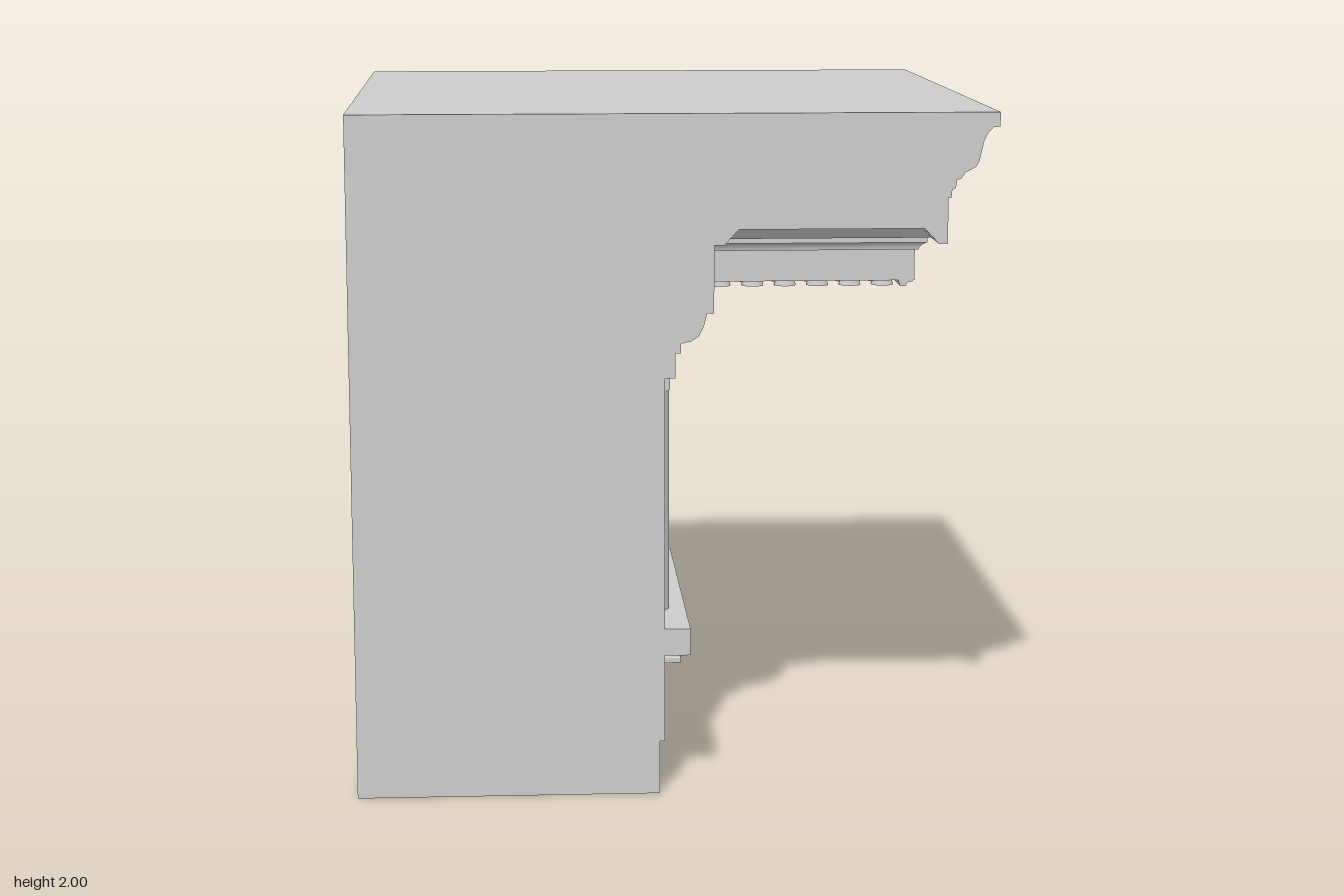
import * as THREE from 'three';
import { mergeGeometries, toCreasedNormals } from 'three/addons/utils/BufferGeometryUtils.js';

const END = 0.93;            // plane where both arms are cut off
const SOFFIT = 1.625, COFFER_TOP = 1.67;
const MID = 0.485;           // centre line of triglyph, regula and mutule
const material = new THREE.MeshStandardMaterial({ color: 0xcccccc });

// Geometry from a list of four-cornered faces
function fromQuads(quads, crease = 0.6) {
  const pos = [];
  const same = (p, q) => p.every((v, i) => Math.abs(v - q[i]) < 1e-6);
  for (const [a, b, c, d] of quads) {
    for (const t of [[a, b, c], [a, c, d]]) {
      if (same(t[0], t[1]) || same(t[1], t[2]) || same(t[0], t[2])) continue;
      pos.push(...t.flat());
    }
  }
  const g = new THREE.BufferGeometry();
  g.setAttribute('position', new THREE.Float32BufferAttribute(pos, 3));
  return toCreasedNormals(g, crease);
}

// Reflect across the corner diagonal: (x, z) -> (-z, -x), keeping faces outward
function mirrored(geo) {
  const g = geo.index ? geo.toNonIndexed() : geo.clone();
  for (const name of ['position', 'normal']) {
    const a = g.attributes[name], src = a.array.slice();
    for (let i = 0; i < a.count; i++) {
      const j = i % 3 === 1 ? i + 1 : i % 3 === 2 ? i - 1 : i;
      a.setXYZ(i, -src[j * 3 + 2], src[j * 3 + 1], -src[j * 3]);
    }
  }
  return g;
}

const shapeOf = pts => new THREE.Shape(pts.map(p => new THREE.Vector2(...p)));

function box(x0, x1, y0, y1, z0, z1) {
  return new THREE.BoxGeometry(x1 - x0, y1 - y0, z1 - z0)
    .translate((x0 + x1) / 2, (y0 + y1) / 2, (z0 + z1) / 2);
}

// An x-y section run along z
function run(pts, z0, z1) {
  return new THREE.ExtrudeGeometry(shapeOf(pts), { depth: z1 - z0, bevelEnabled: false }).translate(0, 0, z0);
}

// Moulding profile run from the cut end to the mitred corner
function mitredRun(profile) {
  const quads = [];
  for (let i = 0; i + 1 < profile.length; i++) {
    const [p, y] = profile[i], [q, h] = profile[i + 1];
    quads.push([[p, y, END], [p, y, -p], [q, h, -q], [q, h, END]]);
  }
  return fromQuads(quads);
}

// Sunk panel with sloping sides, seen from below
function coffer(x0, x1, z0, z1, open = false) {
  const s = 0.042, e = open ? 0 : s;
  const B = [[x0, SOFFIT, z0], [x1, SOFFIT, z0], [x1, SOFFIT, z1], [x0, SOFFIT, z1]];
  const T = [[x0 + s, COFFER_TOP, z0 + s], [x1 - s, COFFER_TOP, z0 + s],
    [x1 - s, COFFER_TOP, z1 - e], [x0 + s, COFFER_TOP, z1 - e]];
  const quads = [[T[0], T[1], T[2], T[3]]];
  for (let i = 0; i < 4; i++) {
    if (open && i === 2) continue;
    const j = (i + 1) % 4;
    quads.push([B[i], B[j], T[j], T[i]]);
  }
  return fromQuads(quads, 0.1);
}

// Block whose rectangle grows by an offset at each height
function mutuleBlock() {
  const steps = [[0, 1.492], [0, 1.583], [0.008, 1.583], [0.01, 1.59], [0.018, 1.6], [0.028, 1.606], [0.028, SOFFIT]];
  const loop = ([o, y]) => [[0.1, y, 0.725 + o * 0.7], [0.717 + o * 1.2, y, 0.725 + o * 0.7],
    [0.717 + o * 1.2, y, 0.243 - o * 0.7], [0.1, y, 0.243 - o * 0.7]];
  const quads = [loop(steps[0]).reverse()];
  for (let i = 0; i + 1 < steps.length; i++) {
    const a = loop(steps[i]), b = loop(steps[i + 1]);
    for (let k = 0; k < 4; k++) {
      const m = (k + 1) % 4;
      quads.push([a[k], a[m], b[m], b[k]]);
    }
  }
  return fromQuads(quads);
}

export function createModel() {
  const model = new THREE.Group();
  model.name = 'entablatureCorner';
  const add = (name, geo) => {
    const mesh = new THREE.Mesh(geo, material);
    mesh.name = name;
    model.add(mesh);
  };
  const addBoth = (name, geo) => {
    add(name + 'Right', geo);
    add(name + 'Back', mirrored(geo));
  };

  // Architrave, frieze and bed moulding
  const lower = [[-END, 0], [-0.042, 0], [-0.042, 0.16], [-0.028, 0.16], [-0.028, 0.42], [0.047, 0.42],
    [0.047, 0.5], [-0.028, 0.5], [-0.028, 1.243], [0.002, 1.243], [0.002, 1.315], [0.018, 1.315],
    [0.018, 1.343], [0.048, 1.35], [0.068, 1.364], [0.082, 1.39], [0.092, 1.43], [0.112, 1.43], [0.112, SOFFIT]];
  // Corona and crowning cyma
  const upper = [[0.78, SOFFIT], [0.78, 1.757], [0.788, 1.757], [0.79, 1.78], [0.8, 1.785], [0.803, 1.807],
    [0.815, 1.812], [0.828, 1.83], [0.845, 1.838], [0.858, 1.846], [0.866, 1.862], [0.872, 1.89],
    [0.879, 1.92], [0.89, 1.942], [0.905, 1.957], [0.924, 1.959], [0.924, 2], [-END, 2]];
  addBoth('wall', mitredRun(lower));
  addBoth('cornice', mitredRun(upper));

  // Flat cut ends, notched where the last coffer is cut through
  const notch = [[0.14, SOFFIT], [0.182, COFFER_TOP], [0.713, COFFER_TOP], [0.755, SOFFIT]];
  addBoth('cutEnd', new THREE.ShapeGeometry(shapeOf([...lower, ...notch, ...upper])).translate(0, 0, END));

  // Soffit, with openings for the coffers
  const c0 = 0.14, c1 = 0.755, n0 = -0.09, n1 = 0.185, f0 = 0.785;
  const soffit = shapeOf([[0.112, END], [0.112, -0.112], [c0, -c0], [c1, -c0], [c1, -c1], [0.78, -0.78],
    [0.78, END], [c1, END], [c1, f0], [c0, f0], [c0, END]]);
  soffit.holes.push(new THREE.Path([[c0, n0], [c1, n0], [c1, n1], [c0, n1]].map(p => new THREE.Vector2(...p))));
  addBoth('soffit', new THREE.ShapeGeometry(soffit).rotateX(Math.PI / 2).translate(0, SOFFIT, 0));
  add('cornerCoffer', coffer(c0, c1, -c1, -c0));
  addBoth('narrowCoffer', coffer(c0, c1, n0, n1));
  addBoth('endCoffer', coffer(c0, c1, f0, END, true));

  // Mutule with drip lip and rows of round drops
  addBoth('mutule', mutuleBlock());
  addBoth('mutuleLip', run([[0.717, 1.5], [0.712, 1.488], [0.697, 1.486], [0.692, 1.475],
    [0.675, 1.475], [0.667, 1.5]], 0.243, 0.725));
  const drops = [];
  for (let i = 0; i < 6; i++) {
    for (let k = 0; k < 6; k++) {
      drops.push(new THREE.CylinderGeometry(0.027, 0.033, 0.022, 14)
        .translate(0.147 + i * 0.096, 1.486, MID + (k - 2.5) * 0.079));
    }
  }
  addBoth('mutuleDrops', mergeGeometries(drops));

  // Triglyph: shanks with two V grooves and chamfered edges
  const face = -0.002, deep = -0.026, half = 0.25;
  const plan = [[-0.05, -half], [deep, -half], [face, -half + 0.04]];
  for (const c of [-0.085, 0.085]) plan.push([face, c - 0.04], [deep, c], [face, c + 0.04]);
  plan.push([face, half - 0.04], [deep, half], [-0.05, half]);
  addBoth('triglyph', new THREE.ExtrudeGeometry(shapeOf(plan), { depth: 0.675, bevelEnabled: false })
    .rotateX(-Math.PI / 2).translate(0, 0.5, MID));
  addBoth('triglyphHead', run([[face, 1.175], [face, 1.245], [-0.05, 1.245], [-0.05, 1.145]], MID - half, MID + half));
  addBoth('triglyphCap', box(-0.03, 0.009, 1.243, 1.316, MID - half, MID + half));

  // Regula with a row of pyramid drops
  addBoth('regula', box(-0.04, 0.016, 0.392, 0.421, 0.26, 0.715));
  const pegs = [];
  for (let i = 0; i < 6; i++) {
    const z = MID + (i - 2.5) * 0.078;
    pegs.push(new THREE.CylinderGeometry(0.012 * Math.SQRT2, 0.035 * Math.SQRT2, 0.043, 4)
      .rotateY(Math.PI / 4).translate(-0.002, 0.3715, z));
    pegs.push(box(-0.037, 0.033, 0.335, 0.35, z - 0.035, z + 0.035));
  }
  addBoth('regulaDrops', toCreasedNormals(mergeGeometries(pegs), 0.1));

  return model;
}
